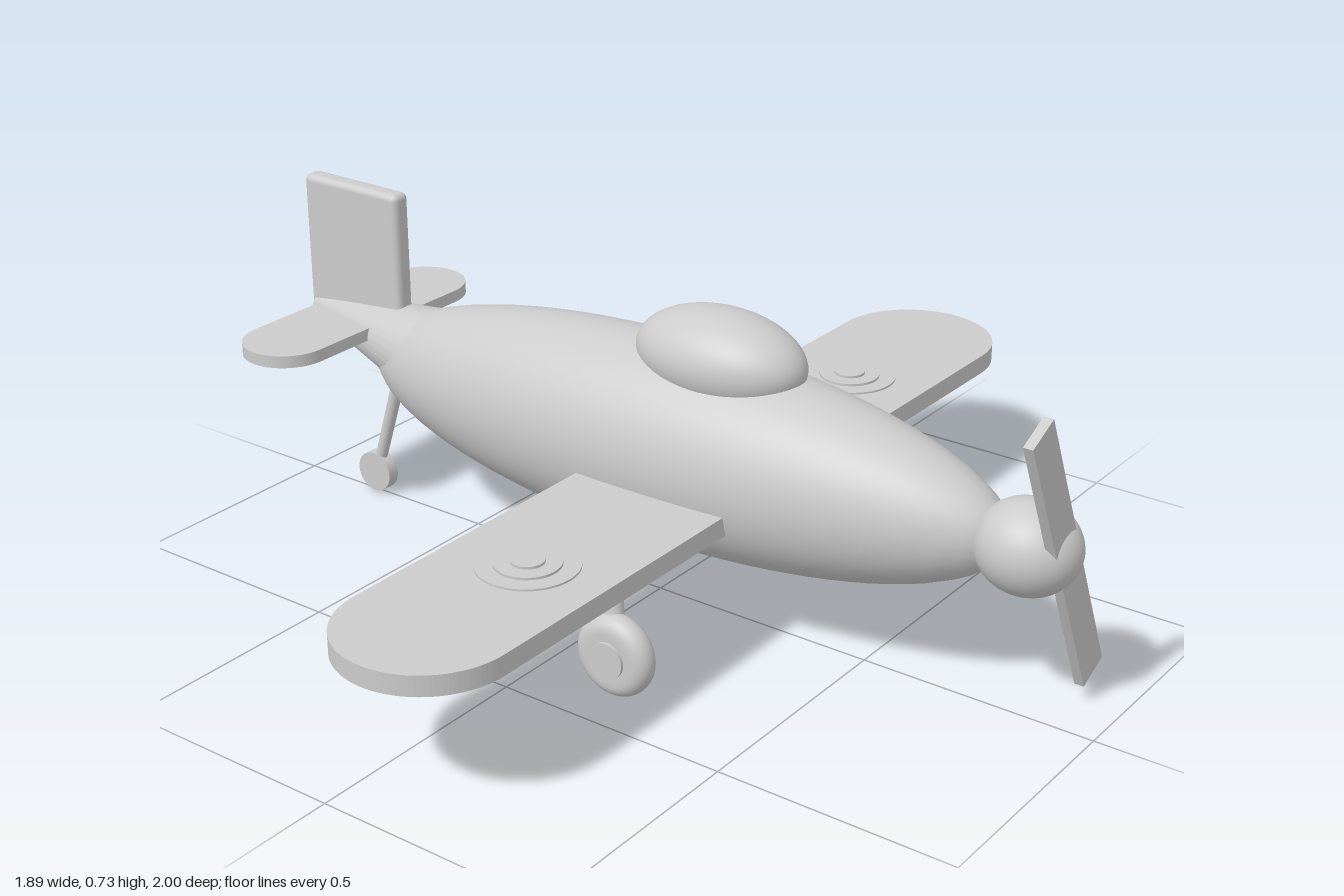
import * as THREE from 'three';
import { RoundedBoxGeometry } from 'three/addons/geometries/RoundedBoxGeometry.js';

const material = new THREE.MeshStandardMaterial({ color: 0xcccccc });

export function createModel() {
  const model = new THREE.Group();
  model.name = 'propellerPlane';

  const add = (name, geometry, position = [0, 0, 0], parent = model) => {
    const mesh = new THREE.Mesh(geometry, material);
    mesh.name = name;
    mesh.position.set(...position);
    parent.add(mesh);
    return mesh;
  };

  const ellipsoid = (name, position, radii) =>
    add(name, new THREE.SphereGeometry(1, 48, 32).scale(...radii), position);

  // Cylinder or cone running between two points
  const rod = (name, from, to, rFrom, rTo, parent = model) => {
    const a = new THREE.Vector3(...from), b = new THREE.Vector3(...to);
    const direction = b.clone().sub(a);
    const geometry = new THREE.CylinderGeometry(rTo, rFrom, direction.length(), 32);
    const mesh = add(name, geometry, a.add(b).multiplyScalar(0.5).toArray(), parent);
    mesh.quaternion.setFromUnitVectors(new THREE.Vector3(0, 1, 0), direction.normalize());
    return mesh;
  };

  // Flat plate with half-round tips, spanning z
  const roundTipPlate = (name, x, yBottom, thickness, radius, halfSpan) => {
    const s = halfSpan - radius;
    const shape = new THREE.Shape();
    shape.moveTo(radius, -s);
    shape.lineTo(radius, s);
    shape.absarc(0, s, radius, 0, Math.PI);
    shape.lineTo(-radius, -s);
    shape.absarc(0, -s, radius, Math.PI, Math.PI * 2);
    const geometry = new THREE.ExtrudeGeometry(shape, { depth: thickness, bevelEnabled: false, curveSegments: 32 });
    geometry.rotateX(-Math.PI / 2);
    return add(name, geometry, [x, yBottom, 0]);
  };

  // Body
  ellipsoid('fuselage', [0.02, 0.355, 0], [0.78, 0.213, 0.193]);
  rod('tailCone', [-0.4, 0.353, 0], [-0.94, 0.422, 0], 0.148, 0.03);
  ellipsoid('canopy', [0.147, 0.562, 0], [0.19, 0.098, 0.115]);

  // Wings and tail surfaces
  roundTipPlate('wing', 0.105, 0.278, 0.042, 0.175, 1);
  roundTipPlate('tailplane', -0.833, 0.403, 0.027, 0.097, 0.312);
  add('tailFin', new RoundedBoxGeometry(0.268, 0.31, 0.046, 4, 0.015), [-0.817, 0.572, 0]);

  // Nose and propeller
  ellipsoid('spinner', [0.838, 0.357, 0], [0.105, 0.094, 0.094]);
  const propeller = add('propeller', new THREE.BoxGeometry(0.02, 0.665, 0.078), [0.912, 0.356, 0]);
  propeller.rotation.x = THREE.MathUtils.degToRad(25.3);

  // Rounded tyre cross-section, revolved about the axle
  const tyreProfile = new THREE.SplineCurve([
    [0.03, -0.029], [0.062, -0.029], [0.08, -0.018], [0.086, 0],
    [0.08, 0.018], [0.062, 0.029], [0.03, 0.029],
  ].map(([r, h]) => new THREE.Vector2(r, h))).getPoints(24);
  const tyre = new THREE.LatheGeometry(tyreProfile, 40).rotateX(Math.PI / 2);
  const hub = new THREE.CylinderGeometry(0.038, 0.038, 0.072, 32).rotateX(Math.PI / 2);

  for (const side of [1, -1]) {
    // Stepped roundel on each wing
    const roundel = new THREE.Group();
    roundel.name = 'wingRoundel';
    roundel.position.set(0.105, 0.318, side * 0.55);
    model.add(roundel);
    [[0.1, 0.006], [0.065, 0.011], [0.033, 0.016]].forEach(([r, h], i) =>
      add(`roundelDisc${i + 1}`, new THREE.CylinderGeometry(r, r, h, 48), [0, h / 2, 0], roundel));

    // Main landing gear
    const gear = new THREE.Group();
    gear.name = side > 0 ? 'frontLandingGear' : 'rearLandingGear';
    model.add(gear);
    rod('strut', [0.143, 0.3, side * 0.355], [0.185, 0.09, side * 0.39], 0.02, 0.02, gear);
    add('tyre', tyre, [0.185, 0.087, side * 0.39], gear);
    add('hub', hub, [0.185, 0.087, side * 0.39], gear);
  }

  // Tail wheel
  rod('tailStrut', [-0.69, 0.38, 0], [-0.795, 0.05, 0], 0.015, 0.013);
  add('tailWheel', new THREE.CylinderGeometry(0.046, 0.046, 0.028, 32).rotateX(Math.PI / 2), [-0.795, 0.05, 0]);

  return model;
}
